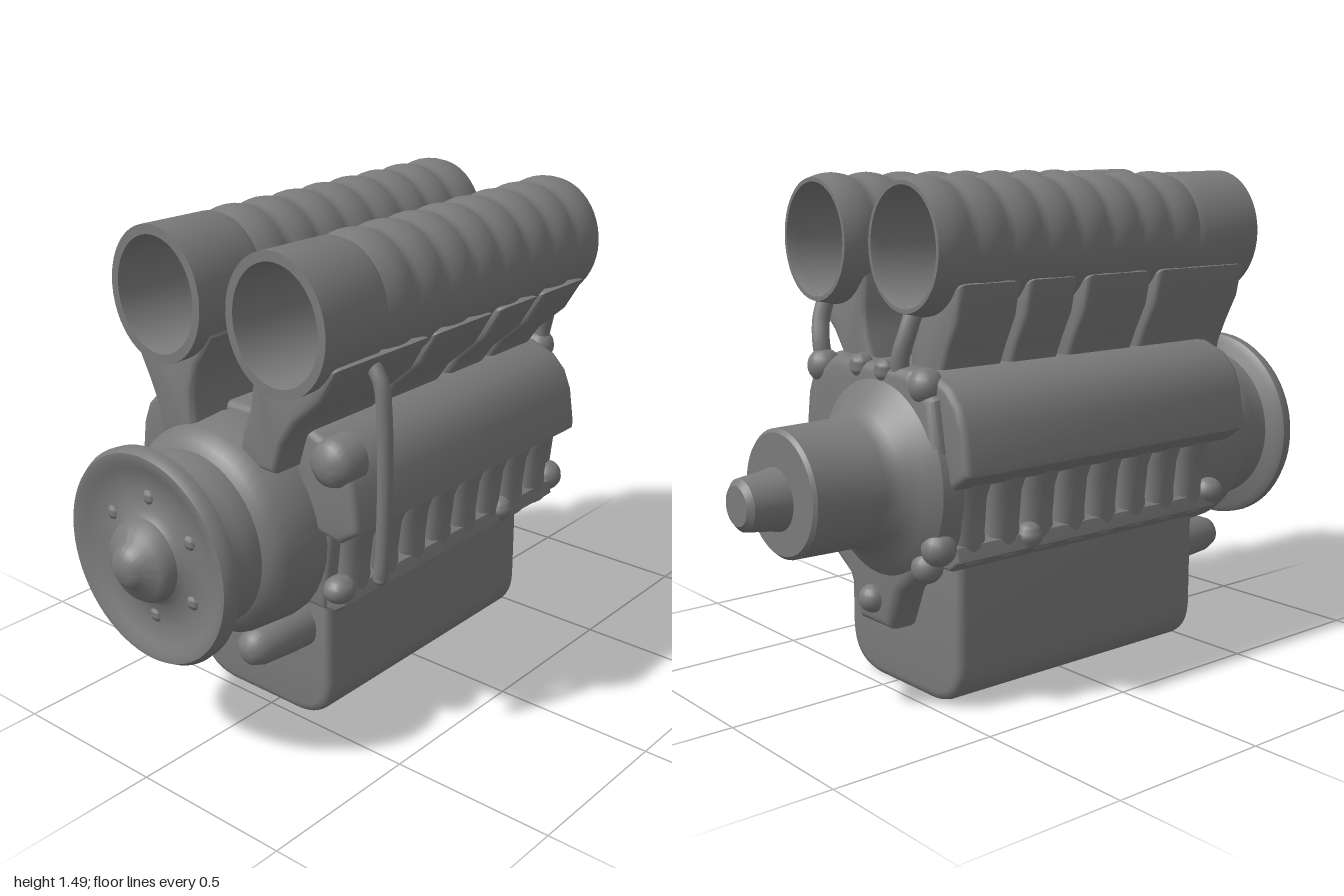
import * as THREE from 'three';
import { toCreasedNormals } from 'three/addons/utils/BufferGeometryUtils.js';

const CX = -0.02; // mirror plane of the cylinder banks

export function createModel() {
  const engine = new THREE.Group();
  engine.name = 'engine';
  const mat = new THREE.MeshStandardMaterial({ color: 0x7a7a7a });

  const add = (name, geo, x = 0, y = 0, z = 0, crease = 0.65) => {
    const mesh = new THREE.Mesh(toCreasedNormals(geo, crease), mat);
    mesh.name = name;
    mesh.position.set(x, y, z);
    engine.add(mesh);
  };

  // turned part along z, profile of [radius, z] from back to front
  const turned = (profile, segments = 48) =>
    new THREE.LatheGeometry(profile.map(([r, z]) => new THREE.Vector2(r, z)), segments).rotateX(Math.PI / 2);

  // cross-section in x/y pulled from z0 to z1 with softened ends
  const pulled = (shape, z0, z1, bevel) => {
    const s = Array.isArray(shape) ? new THREE.Shape(shape.map(([x, y]) => new THREE.Vector2(x, y))) : shape;
    return new THREE.ExtrudeGeometry(s, {
      depth: z1 - z0 - 2 * bevel, bevelSize: bevel, bevelThickness: bevel,
      bevelOffset: -bevel, bevelSegments: 3, curveSegments: 8,
    }).translate(0, 0, z0 + bevel);
  };

  // upright loft through elliptical rings [x, y, z, rx, rz], bottom to top
  const loft = (rings) => {
    const geo = new THREE.CylinderGeometry(1, 1, 1, 20, rings.length - 1);
    const p = geo.attributes.position;
    for (let i = 0; i < p.count; i++) {
      const [x, y, z, rx, rz] = rings[Math.round((p.getY(i) + 0.5) * (rings.length - 1))];
      p.setXYZ(i, x + p.getX(i) * rx, y, z + p.getZ(i) * rz);
    }
    return geo;
  };

  const pipe = (points, r) => new THREE.TubeGeometry(
    new THREE.CatmullRomCurve3(points.map((p) => new THREE.Vector3(...p))), 24, r, 10);

  const knob = (name, x, y, z, r, sx = 1, sy = 1, sz = 1) =>
    add(name, new THREE.SphereGeometry(r, 16, 12).scale(sx, sy, sz), x, y, z, 1.2);

  // oil pan with rounded lower edges
  const pan = new THREE.Shape();
  pan.moveTo(-0.32, 0.46);
  pan.lineTo(-0.32, 0.13);
  pan.quadraticCurveTo(-0.315, 0.01, -0.19, 0);
  pan.lineTo(0.09, 0);
  pan.quadraticCurveTo(0.215, 0.01, 0.22, 0.13);
  pan.lineTo(0.22, 0.46);
  add('oilPan', pulled(pan, -0.46, 0.48, 0.025));

  // engine block
  add('block', pulled([[-0.31, 0.42], [0.26, 0.42], [0.29, 0.68], [0.3, 0.9], [0.2, 0.95], [0.03, 0.96],
    [-0.12, 0.96], [-0.27, 0.95], [-0.34, 0.9], [-0.33, 0.68]], -0.5, 0.54, 0.02));

  // both cylinder banks
  for (const side of [1, -1]) {
    const X = (d) => CX + side * d;
    const cover = [[0.25, 0.68], [0.36, 0.66], [0.425, 0.705], [0.425, 0.73], [0.41, 0.83], [0.385, 0.89],
      [0.34, 0.935], [0.26, 0.965], [0.18, 0.96]].map(([x, y]) => [X(x), y]);
    add('valveCover', pulled(cover, side > 0 ? -0.49 : -0.53, 0.57, 0.02));
    add('exhaustRail', pulled([[0.25, 0.42], [0.31, 0.42], [0.345, 0.45], [0.335, 0.49], [0.25, 0.52]]
      .map(([x, y]) => [X(x), y]), -0.5, 0.53, 0.01));
    // broad exhaust ports between cover and rail
    for (let i = 0; i < 8; i++) {
      const z = 0.44 - i * 0.125;
      add('exhaustPort', loft([
        [X(0.3), 0.44, z, 0.04, 0.066], [X(0.295), 0.52, z, 0.045, 0.058],
        [X(0.305), 0.62, z, 0.05, 0.056], [X(0.345), 0.72, z, 0.045, 0.066]]));
    }
    knob('railBolt', X(0.32), 0.495, 0.52, 0.045, 1, 0.9, 1.1);
    knob('railBolt', X(0.325), 0.48, -0.23, 0.04);
    knob('railBolt', X(0.3), 0.49, -0.53, 0.05);
    knob('rearBolt', X(0.25), 0.93, -0.53, 0.05);
  }

  // intake trumpets: hollow oval tubes, scalloped skin behind a smooth mouth
  const tubeProfile = [];
  for (let i = 0; i <= 64; i++) {
    const z = -0.53 + i / 64;
    tubeProfile.push([0.161 + 0.012 * Math.abs(Math.sin(Math.PI * i / 8)), z]);
  }
  tubeProfile.push([0.169, 0.49], [0.172, 0.72], [0.147, 0.72], [0.14, 0.69], [0.14, -0.5], [0.15, -0.53], [0.161, -0.53]);

  // runner edges from foot to tube: [outer x, inner x, y]
  const runnerEdges = {
    right: [[-0.225, -0.09, 0.86], [-0.245, -0.1, 0.95], [-0.275, -0.1, 1.02], [-0.315, -0.075, 1.1]],
    left: [[0.205, 0.07, 0.86], [0.235, 0.085, 0.95], [0.285, 0.115, 1.02], [0.375, 0.13, 1.1]],
  };
  for (const [x, name] of [[-0.17, 'right'], [0.27, 'left']]) {
    add(name + 'IntakeTube', turned(tubeProfile).scale(1, 1.115, 1), x, 1.295, 0);

    // webbed runners whose tops cradle the tube inside its wall
    const edges = runnerEdges[name];
    const dir = name === 'left' ? 1 : -1;
    const web = edges.map(([outer, , y]) => [outer, y]);
    web.push([x + dir * 0.165, 1.2]);
    for (let i = 0; i <= 12; i++) {
      const a = -0.6 - (Math.PI - 1) * i / 12;
      web.push([x + dir * 0.15 * Math.cos(a), 1.295 + 0.167 * Math.sin(a)]);
    }
    web.push([x - dir * 0.15, 1.19]);
    for (const [, inner, y] of edges.slice().reverse()) web.push([inner, y]);
    for (const [z0, z1] of [[0.47, 0.67], [0.295, 0.5], [0.005, 0.265], [-0.215, -0.035], [-0.46, -0.245]]) {
      add(name + 'IntakeRunner', pulled(web, z0, z1, 0.018));
    }
    // support strut at the back
    add(name + 'RearStrut', pipe([[x, 1.13, -0.49], [x * 0.98, 1.06, -0.515],
      [x * 0.9, 0.99, -0.53], [x * 0.85, 0.9, -0.52]], 0.027));
  }

  // valley fittings
  for (const z of [0.34, 0.06, -0.1, -0.28]) knob('valleyBolt', 0.07, 0.955, z, 0.035);
  for (const [x, y] of [[-0.1, 0.955], [0.02, 0.955]]) knob('plateBolt', x, y, -0.54, 0.035);

  // front case, drum and dished pulley
  add('frontCase', turned([[0, 0.44], [0.3, 0.44], [0.315, 0.56], [0.305, 0.68], [0.28, 0.72],
    [0.255, 0.735], [0.255, 0.79], [0.245, 0.81], [0.25, 0.87], [0, 0.87]]), -0.04, 0.63, 0);
  add('pulley', turned([[0, 0.855], [0.29, 0.855], [0.31, 0.87], [0.312, 0.895], [0.3, 0.915], [0.28, 0.915],
    [0.255, 0.9], [0.2, 0.89], [0.14, 0.895], [0.12, 0.91], [0.115, 0.935], [0.1, 0.955],
    [0.07, 0.965], [0.055, 0.985], [0.035, 1], [0, 1]], 64), -0.045, 0.625, 0);
  for (let i = 0; i < 6; i++) {
    const a = (i + 0.5) * Math.PI / 3;
    knob('pulleyBolt', -0.045 + 0.175 * Math.cos(a), 0.625 + 0.175 * Math.sin(a), 0.888, 0.022, 1, 1, 0.5);
  }

  // water pipes below the pulley
  for (const x of [-0.19, 0.1]) {
    add('waterPipe', turned([[0, 0.42], [0.075, 0.42], [0.067, 0.55], [0.058, 0.65], [0.045, 0.685],
      [0.025, 0.7], [0, 0.703]], 24), x, 0.3, 0, 1);
  }

  // rounded canister on the left bank and the tall thin rod
  add('canister', turned([[0, 0.5], [0.07, 0.5], [0.07, 0.56], [0.058, 0.59], [0.03, 0.605], [0, 0.608]], 24),
    0.32, 0.89, 0, 1);
  add('dipstick', pipe([[0.4, 1.17, 0.5], [0.43, 1.13, 0.5], [0.443, 1.04, 0.5], [0.445, 0.8, 0.5],
    [0.435, 0.6, 0.5], [0.43, 0.565, 0.5]], 0.022));
  knob('dipstickEnd', 0.43, 0.565, 0.5, 0.022);

  // rear plate with a narrow lower lobe, bell housing and output shaft
  add('rearPlate', pulled([[-0.12, 0.21], [0.03, 0.21], [0.08, 0.33], [0.22, 0.42], [0.28, 0.48], [0.3, 0.66],
    [0.25, 0.9], [0.15, 0.97], [-0.22, 0.97], [-0.33, 0.9], [-0.37, 0.66], [-0.34, 0.48], [-0.28, 0.42],
    [-0.17, 0.33]], -0.56, -0.45, 0.03));
  add('bellHousing', turned([[0, -0.88], [0.168, -0.88], [0.178, -0.87], [0.182, -0.66], [0.2, -0.62],
    [0.25, -0.585], [0.29, -0.55], [0.3, -0.5], [0, -0.5]]), -0.08, 0.65, 0);
  add('outputShaft', turned([[0, -1], [0.055, -1], [0.072, -0.985], [0.082, -0.91], [0.09, -0.87], [0, -0.87]], 32),
    -0.065, 0.635, 0);
  knob('lowerBolt', -0.045, 0.29, -0.56, 0.042);
  for (const x of [-0.28, 0.2]) knob('lowerBolt', x, 0.43, -0.54, 0.045);
  return engine;
}
